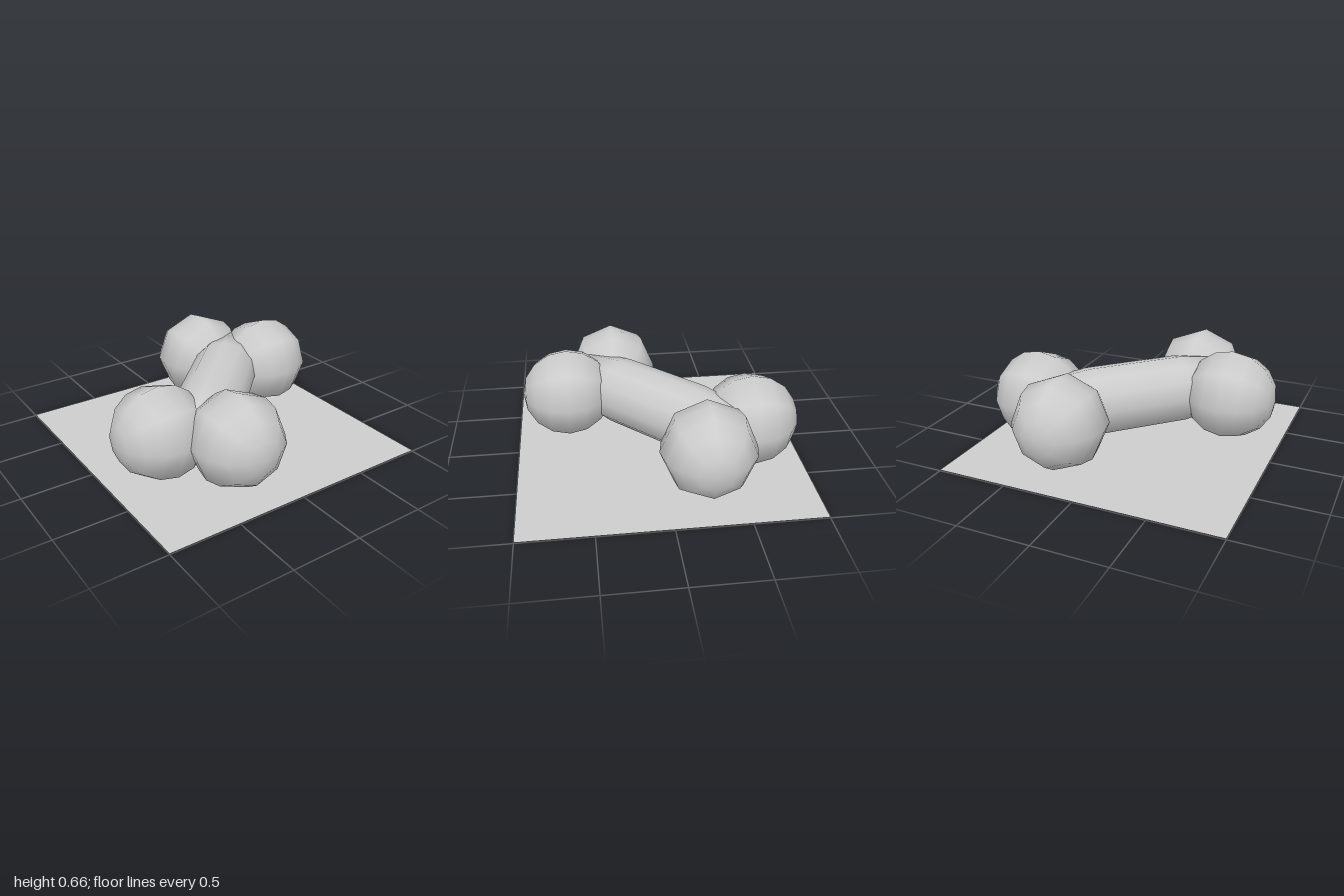
import * as THREE from 'three';

const bone = new THREE.MeshStandardMaterial({ color: 0xcccccc });
bone.name = 'pale bone';
const ground = new THREE.MeshStandardMaterial({ color: 0xcccccc, side: THREE.DoubleSide });
ground.name = 'pale base';
const dark = new THREE.MeshStandardMaterial({ color: 0x624d3c, side: THREE.DoubleSide });
dark.name = 'dark brown';

function add(parent, name, geometry, material, x = 0, y = 0, z = 0) {
  const mesh = new THREE.Mesh(geometry, material);
  mesh.name = name;
  mesh.position.set(x, y, z);
  parent.add(mesh);
  return mesh;
}

export function createModel() {
  const model = new THREE.Group();
  model.name = 'boneOnBase';
  const midY = 0.34;

  // Shaft: straight tube that narrows into the cleft between each pair of knobs
  const profile = [[0, -0.64], [0.2, -0.64], [0.24, -0.34], [0.24, 0.34], [0.2, 0.64], [0, 0.64]]
    .map(([r, h]) => new THREE.Vector2(r, h));
  const shaftGeometry = new THREE.LatheGeometry(profile, 12);
  shaftGeometry.rotateZ(-Math.PI / 2).rotateY(Math.PI / 4);
  add(model, 'shaft', shaftGeometry, bone, 0, midY, 0);

  // Knobs: eight-sided balls whose poles point outwards along x or z
  const alongX = new THREE.SphereGeometry(0.325, 8, 8).rotateZ(Math.PI / 2);
  const alongZ = new THREE.SphereGeometry(0.325, 8, 8).rotateX(Math.PI / 2);
  for (const s of [1, -1]) {
    add(model, 'sideKnob', alongX, bone, s * 0.625, midY, s * -0.27);
    add(model, 'endKnob', alongZ, bone, s * 0.27, midY, s * -0.625);
  }

  // Square base sheet
  add(model, 'base', new THREE.PlaneGeometry(2, 2).rotateX(-Math.PI / 2), ground, 0, 0.006, 0);

  // Flat dark bone shape on the underside of the base
  const underside = new THREE.Group();
  underside.name = 'undersideShape';
  model.add(underside);
  const disc = new THREE.CircleGeometry(0.37, 40).rotateX(Math.PI / 2);
  for (const s of [1, -1]) {
    add(underside, 'darkLobe', disc, dark, s * 0.61, 0, s * -0.23);
    add(underside, 'darkLobe', disc, dark, s * 0.23, 0, s * -0.61);
  }
  const strip = new THREE.PlaneGeometry(1.2, 0.53).rotateX(Math.PI / 2).rotateY(Math.PI / 4);
  add(underside, 'darkStrip', strip, dark);

  return model;
}
